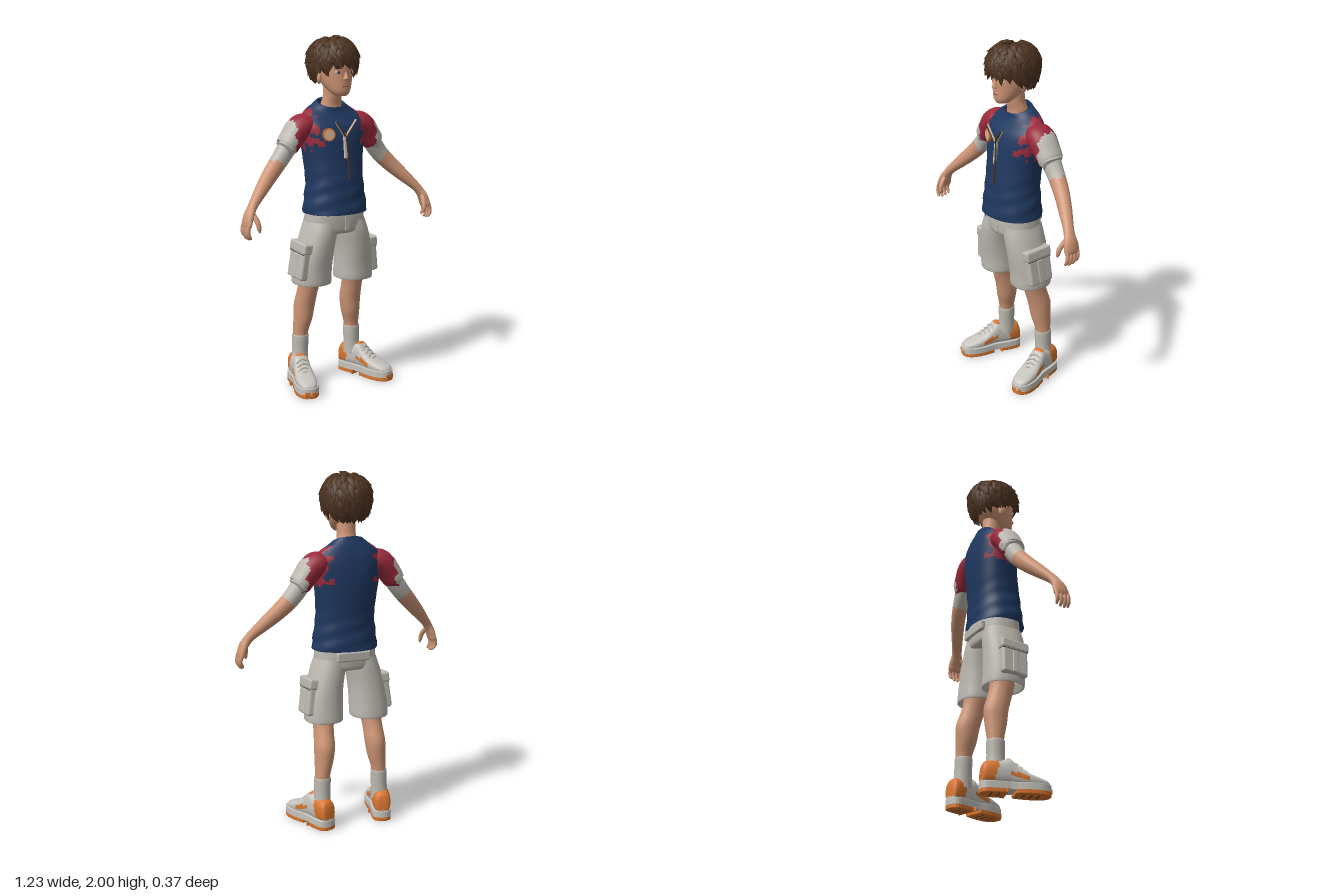
import * as THREE from 'three';
import { mergeGeometries } from 'three/addons/utils/BufferGeometryUtils.js';
import { RoundedBoxGeometry } from 'three/addons/geometries/RoundedBoxGeometry.js';

const V = (x, y, z) => new THREE.Vector3(x, y, z);
const X = V(1, 0, 0), UP = V(0, 1, 0), FWD = V(0, 0, 1);
const mat = (name, color, side = THREE.FrontSide) => {
  const m = new THREE.MeshStandardMaterial({ color, side });
  m.name = name;
  return m;
};

// Smooth skin through elliptical sections [x, y, z, ru, rv].
// dir fixes the ring plane; pick(point) chooses a material group per face.
function loft(secs, { segs = 24, sides = 24, dir = null, ref = X, p = 1, warp = null, pick = null } = {}) {
  const curve = (f) => new THREE.CatmullRomCurve3(secs.map(f), false, 'catmullrom', 0.5);
  const path = curve((s) => V(s[0], s[1], s[2])), rad = curve((s) => V(s[3], s[4], 0));
  const pow = (c) => Math.sign(c) * Math.abs(c) ** p;
  const pts = [], idx = [[], [], []];
  for (let i = 0; i <= segs; i++) {
    const t = i / segs, c = path.getPoint(t), r = rad.getPoint(t);
    const T = dir || path.getTangent(t);
    const u = ref.clone().addScaledVector(T, -ref.dot(T)).normalize();
    const v = u.clone().cross(T);
    for (let j = 0; j < sides; j++) {
      const a = (j / sides) * Math.PI * 2;
      const q = c.clone().addScaledVector(u, pow(Math.cos(a)) * Math.max(r.x, 0.0005))
        .addScaledVector(v, pow(Math.sin(a)) * Math.max(r.y, 0.0005));
      if (warp) warp(q, t, a);
      pts.push(q);
    }
  }
  for (let i = 0; i < segs; i++) for (let j = 0; j < sides; j++) {
    const a = i * sides + j, b = i * sides + (j + 1) % sides, c = a + sides, d = b + sides;
    const mid = pts[a].clone().add(pts[d]).multiplyScalar(0.5);
    idx[pick ? pick(mid) : 0].push(a, c, b, b, c, d);
  }
  const g = new THREE.BufferGeometry().setFromPoints(pts);
  g.setIndex(idx.flat());
  let start = 0;
  if (pick) idx.forEach((l, k) => { if (l.length) g.addGroup(start, l.length, k); start += l.length; });
  g.computeVertexNormals();
  return g;
}

export function createModel() {
  const root = new THREE.Group();
  root.name = 'boy';
  const D = THREE.DoubleSide;
  const skin = mat('skin', 0xcf9676), navy = mat('navy cloth', 0x1f3860, D), red = mat('crimson cloth', 0x9a2a3c, D);
  const grey = mat('grey cloth', 0xbdb9b1, D), pale = mat('shoe white', 0xc6c3bd), orange = mat('orange', 0xd9752e);
  const brown = mat('hair brown', 0x4e3320, D), dark = mat('dark metal', 0x35302d), beige = mat('beige', 0xd9b596);
  const add = (name, geo, m, parent = root, pos = [0, 0, 0]) => {
    const o = new THREE.Mesh(geo, m);
    o.name = name;
    o.position.set(...pos);
    parent.add(o);
    return o;
  };
  let seed = 7;
  const rnd = () => (seed = (seed * 16807) % 2147483647) / 2147483647;
  const rag = (q) => 0.016 * Math.sin(q.y * 95 + q.z * 30) + 0.013 * Math.sin(q.z * 120 + q.y * 41);

  // Head, neck and face
  add('head', loft([[0, 1.665, 0.075, 0.004, 0.004], [0, 1.668, 0.07, 0.032, 0.032], [0, 1.69, 0.055, 0.056, 0.06],
    [0, 1.73, 0.025, 0.078, 0.092], [0, 1.78, 0.002, 0.093, 0.117], [0, 1.84, -0.007, 0.1, 0.13],
    [0, 1.9, -0.01, 0.098, 0.125], [0, 1.95, -0.01, 0.06, 0.08], [0, 1.97, -0.01, 0.001, 0.001]], { dir: UP, sides: 32, segs: 32 }), skin);
  add('neck', loft([[0, 1.54, -0.035, 0.07, 0.06], [0, 1.61, -0.033, 0.062, 0.056], [0, 1.66, -0.02, 0.053, 0.053],
    [0, 1.74, -0.01, 0.053, 0.056]], { dir: UP }), skin);
  add('nose', loft([[0, 1.752, 0.112, 0.003, 0.003], [0, 1.757, 0.117, 0.017, 0.017], [0, 1.768, 0.118, 0.013, 0.019],
    [0, 1.79, 0.116, 0.008, 0.01], [0, 1.815, 0.11, 0.006, 0.006]], { dir: UP, sides: 12, segs: 12 }), skin);
  add('mouth', new RoundedBoxGeometry(0.034, 0.005, 0.006, 2, 0.002), red, root, [0, 1.718, 0.115]);
  for (const s of [1, -1]) {
    const oval = (name, m, x, y, z, a, b, c) => {
      const o = add(name, new THREE.SphereGeometry(1, 16, 12), m, root, [s * x, y, z]);
      o.scale.set(a, b, c);
      o.rotation.y = s * 0.35;
    };
    oval('eye', pale, 0.043, 1.796, 0.106, 0.019, 0.009, 0.005);
    oval('iris', brown, 0.041, 1.796, 0.109, 0.008, 0.009, 0.004);
    oval('eyebrow', brown, 0.044, 1.818, 0.109, 0.023, 0.004, 0.004);
    oval('ear', skin, 0.097, 1.765, 0, 0.012, 0.034, 0.02);
  }

  // Hair: a cap with swirling tapered locks over it
  const hairPoint = (t, phi, r) => {
    const th = t * (2.1 - 0.35 * Math.cos(phi)), c = Math.cos(th), sn = Math.max(Math.sin(th), 0) ** (th > 1.57 ? 0.6 : 1);
    return V(-0.006 + 0.127 * r * sn * Math.sin(phi), 1.862 + (c > 0 ? 0.122 : 0.14) * r * c, -0.008 + 0.143 * r * sn * Math.cos(phi));
  };
  const cap = new THREE.SphereGeometry(1, 32, 16), cp = cap.attributes.position;
  for (let i = 0; i < cp.count; i++) {
    const q = hairPoint(Math.acos(THREE.MathUtils.clamp(cp.getY(i), -1, 1)) / Math.PI, Math.atan2(cp.getX(i), cp.getZ(i)), 0.95);
    cp.setXYZ(i, q.x, q.y, q.z);
  }
  // close the cap inside the skull rather than over the face
  const keep = [], ci = cap.index.array;
  for (let k = 0; k < ci.length; k++) keep.push(ci[k]);
  cap.setIndex(keep);
  cap.computeVertexNormals();
  add('hairCap', cap, brown);
  const locks = [];
  for (let i = 0; i < 210; i++) {
    const t0 = 0.02 + 0.8 * Math.sqrt(i / 210), phi = i * 2.39996, len = 0.24 + 0.14 * rnd(), lift = 1.06 + 0.13 * rnd(), tw = 0.15 + 0.35 * (rnd() - 0.3);
    const w = 0.019 + 0.009 * rnd();
    const at = (k, r, a, b) => [...hairPoint(t0 + len * k, phi + tw * k, r).toArray(), a, b];
    locks.push(loft([at(0, 0.93, 0.006, 0.004), at(0.3, 1.02, w, 0.012), at(0.65, 1.05, w * 0.8, 0.011), at(1, lift, 0.001, 0.001)],
      { segs: 6, sides: 6, ref: V(Math.cos(phi), 0, -Math.sin(phi)) }));
  }
  add('hairLocks', mergeGeometries(locks), brown);

  // Shirt body with ragged crimson shoulders
  const shirt = [navy, red, grey];
  add('shirtBody', loft([[0, 1.05, 0.004, 0.15, 0.12], [0, 1.018, 0.006, 0.18, 0.145], [0, 1.025, 0.006, 0.187, 0.149],
    [0, 1.11, 0.004, 0.177, 0.142], [0, 1.2, 0, 0.167, 0.137], [0, 1.32, -0.014, 0.176, 0.133], [0, 1.43, -0.022, 0.192, 0.128],
    [0, 1.51, -0.03, 0.198, 0.112], [0, 1.565, -0.034, 0.172, 0.088], [0, 1.6, -0.036, 0.118, 0.071],
    [0, 1.625, -0.035, 0.083, 0.063], [0, 1.615, -0.035, 0.072, 0.058]], {
    dir: UP, sides: 72, segs: 72, p: 0.9,
    warp: (q, t, a) => {
      const k = THREE.MathUtils.smoothstep(q.y, 1.48, 1.62), low = 1 - THREE.MathUtils.smoothstep(q.y, 1.1, 1.35);
      q.y -= (q.z + 0.035) * 0.4 * k;
      const f = 1 + low * 0.014 * Math.sin(q.y * 70 + a * 3);
      q.x *= f; q.z *= f;
    },
    pick: (q) => (q.y > 1.39 + rag(q) && Math.abs(q.x) > 0.15 + 1.3 * rag(q) ? 1 : 0),
  }), shirt);

  for (const s of [1, -1]) {
    const side = s > 0 ? 'left' : 'right';
    const flip = (l) => l.map(([x, ...r]) => [s * x, ...r]);

    // Sleeve, arm and hand
    add(side + 'Sleeve', loft(flip([[0.13, 1.53, -0.037, 0.06, 0.04], [0.17, 1.51, -0.038, 0.078, 0.065], [0.215, 1.482, -0.038, 0.081, 0.07],
      [0.25, 1.44, -0.038, 0.077, 0.066], [0.283, 1.395, -0.038, 0.073, 0.061], [0.281, 1.4, -0.038, 0.06, 0.05]]),
    { ref: FWD, sides: 40, segs: 40, pick: (q) => (Math.abs(q.x) > 0.262 + (1.43 - q.y) * 0.1 + 0.5 * rag(q) ? 2 : Math.abs(q.x) > 0.14 ? 1 : 0) }), shirt);
    add(side + 'Arm', loft(flip([[0.24, 1.45, -0.04, 0.055, 0.052], [0.28, 1.39, -0.04, 0.055, 0.053], [0.335, 1.318, -0.036, 0.047, 0.05],
      [0.4, 1.25, -0.018, 0.042, 0.045], [0.47, 1.182, 0.014, 0.037, 0.037], [0.54, 1.112, 0.05, 0.03, 0.026], [0.57, 1.07, 0.063, 0.034, 0.024]]),
    { ref: FWD, segs: 36, pick: (q) => ((Math.abs(q.x) - q.y) * 0.7 < -0.668 + 0.3 * rag(q) ? 2 : 0) }), [skin, red, grey]);
    add(side + 'Palm', loft(flip([[0.545, 1.108, 0.053, 0.022, 0.02], [0.572, 1.068, 0.064, 0.038, 0.024], [0.588, 1.03, 0.068, 0.046, 0.021],
      [0.595, 0.998, 0.07, 0.045, 0.016], [0.596, 0.988, 0.07, 0.01, 0.005]]), { ref: FWD, segs: 16, sides: 20 }), skin);
    for (let f = 0; f < 4; f++) {
      const z = 0.035 + f * 0.023, e = [0.012, 0.002, 0, 0.006][f];
      add(side + 'Finger', loft(flip([[0.594, 1.015, z, 0.011, 0.011], [0.604, 0.982, z + 0.002, 0.011, 0.011], [0.602, 0.95 + e, z + 0.004, 0.01, 0.01],
        [0.59, 0.932 + e, z + 0.005, 0.007, 0.007], [0.586, 0.928 + e, z + 0.005, 0.001, 0.001]]), { ref: FWD, segs: 12, sides: 10 }), skin);
    }
    add(side + 'Thumb', loft(flip([[0.562, 1.06, 0.085, 0.014, 0.014], [0.552, 1.02, 0.115, 0.014, 0.014], [0.548, 0.985, 0.125, 0.011, 0.011],
      [0.546, 0.966, 0.126, 0.001, 0.001]]), { ref: FWD, segs: 12, sides: 10 }), skin);

    // Shorts leg with turned hem and cargo pocket
    add(side + 'ShortsLeg', loft(flip([[0.14, 0.66, -0.02, 0.085, 0.09], [0.14, 0.615, -0.02, 0.1, 0.108], [0.14, 0.622, -0.02, 0.108, 0.115],
      [0.138, 0.7, -0.015, 0.106, 0.115], [0.127, 0.8, -0.006, 0.1, 0.119], [0.105, 0.9, 0, 0.094, 0.12], [0.09, 0.97, 0, 0.085, 0.113]]),
    { dir: UP, segs: 32, sides: 36, p: 0.9 }), grey);
    const pocket = new THREE.Group();
    pocket.name = side + 'CargoPocket';
    pocket.position.set(s * 0.226, 0.755, -0.005);
    pocket.rotation.set(0.06, 0, s * 0.13);
    root.add(pocket);
    add('pocketBag', new RoundedBoxGeometry(0.05, 0.18, 0.155, 3, 0.014), grey, pocket, [0, -0.015, 0]);
    add('pocketFlap', new RoundedBoxGeometry(0.058, 0.06, 0.168, 3, 0.012), grey, pocket, [0, 0.075, 0]);
    add('pocketPleat', new RoundedBoxGeometry(0.058, 0.14, 0.04, 3, 0.008), grey, pocket, [0, -0.03, 0]);
    add('pocketSeam', new THREE.BoxGeometry(0.052, 0.003, 0.15), dark, pocket, [0, 0.043, 0]);

    // Lower leg and sock
    add(side + 'Leg', loft(flip([[0.177, 0.2, -0.088, 0.04, 0.042], [0.175, 0.3, -0.088, 0.042, 0.046], [0.163, 0.39, -0.08, 0.053, 0.061],
      [0.157, 0.47, -0.074, 0.058, 0.069], [0.152, 0.55, -0.05, 0.056, 0.068], [0.147, 0.62, -0.032, 0.06, 0.07], [0.14, 0.76, -0.02, 0.07, 0.078]]),
    { dir: UP, segs: 28 }), skin);
    add(side + 'Sock', loft(flip([[0.182, 0.12, -0.09, 0.05, 0.055], [0.178, 0.2, -0.089, 0.046, 0.049], [0.176, 0.285, -0.088, 0.047, 0.05],
      [0.176, 0.292, -0.088, 0.04, 0.043]]), { dir: UP, segs: 16 }), grey);

    // Trainer
    const shoe = new THREE.Group();
    shoe.name = side + 'Shoe';
    shoe.position.set(s * 0.218, 0, 0.002);
    shoe.rotation.y = s * 0.29;
    root.add(shoe);
    const outline = [[0, -0.187], [0.042, -0.17], [0.052, -0.11], [0.05, -0.02], [0.062, 0.07], [0.056, 0.145], [0.03, 0.182], [0, 0.188],
      [-0.03, 0.18], [-0.054, 0.14], [-0.06, 0.07], [-0.046, -0.02], [-0.05, -0.11], [-0.042, -0.17]];
    const slab = (scale, y0, h, from = -1, to = 1) => {
      const ring = new THREE.CatmullRomCurve3(outline.map(([x, z]) => V(x * scale, 0, z * scale)), true).getPoints(48);
      const shape = new THREE.Shape(ring.map((q) => new THREE.Vector2(q.x, -THREE.MathUtils.clamp(q.z, from, to))));
      return new THREE.ExtrudeGeometry(shape, { depth: h, bevelEnabled: true, bevelSize: 0.004, bevelThickness: 0.004, bevelSegments: 2 })
        .rotateX(-Math.PI / 2).translate(0, y0, 0);
    };
    add('midsole', slab(0.99, 0.022, 0.034), pale, shoe);
    add('toeTread', slab(0.99, 0.004, 0.018, 0.0, 1), orange, shoe);
    add('heelTread', slab(0.99, 0.004, 0.018, -1, -0.05), orange, shoe);
    for (const z of [-0.13, -0.09, 0.04, 0.08, 0.12]) add('treadGroove', new THREE.BoxGeometry(0.07, 0.003, 0.006), dark, shoe, [0, 0.0005, z]);
    const up = ([z, w, top]) => [0, (top + 0.04) / 2, z, w, (top - 0.04) / 2];
    add('upper', loft([[-0.184, 0.004, 0.06], [-0.181, 0.032, 0.125], [-0.165, 0.046, 0.165], [-0.12, 0.051, 0.178], [-0.07, 0.05, 0.182], [-0.03, 0.049, 0.192],
      [0.005, 0.051, 0.158], [0.06, 0.058, 0.122], [0.115, 0.056, 0.1], [0.16, 0.044, 0.085], [0.18, 0.025, 0.07], [0.186, 0.003, 0.05]].map(up), {
      dir: FWD, segs: 56, sides: 32, p: 0.8,
      pick: (q) => {
        const heel = q.z < -0.105 + 0.25 * (q.y - 0.1) && q.y > 0.066;
        const stripe = Math.abs(q.x) > 0.03 && Math.abs(q.y - 0.098 + 0.25 * q.z) < 0.012 && q.z > -0.03 && q.z < 0.065;
        const tongue = q.y > 0.182 && q.z > -0.05;
        return heel || stripe || tongue ? 1 : 0;
      },
    }), [pale, orange, grey], shoe);
    for (let k = 0; k < 4; k++) {
      const z = 0.0 + k * 0.023, y = 0.168 - k * 0.017;
      add('lace', new THREE.TubeGeometry(new THREE.CatmullRomCurve3([V(-0.036, y - 0.016, z + 0.008), V(0, y + 0.002, z), V(0.036, y - 0.016, z - 0.004)]), 10, 0.005, 6), grey, shoe);
    }
    add('toeCapTrim', new RoundedBoxGeometry(0.06, 0.028, 0.012, 2, 0.004), orange, shoe, [0, 0.026, 0.184]);

    // Open zip collar arm
    const zip = (r, dz) => new THREE.TubeGeometry(new THREE.LineCurve3(V(s * 0.068, 1.535, 0.122 + dz), V(s * 0.006, 1.45, 0.118 + dz)), 4, r, 6);
    add(side + 'ZipEdge', zip(0.008, 0), beige);
    add(side + 'ZipTeeth', zip(0.0045, 0.007), dark);
  }

  // Shorts seat and belt
  add('shortsSeat', loft([[0, 0.9, 0, 0.1, 0.06], [0, 0.905, 0, 0.165, 0.112], [0, 0.96, 0, 0.177, 0.124], [0, 1.05, 0, 0.17, 0.124]],
    { dir: UP, sides: 40, p: 0.85 }), grey);
  add('backBelt', new RoundedBoxGeometry(0.2, 0.055, 0.03, 3, 0.01), grey, root, [0, 0.985, -0.122]);
  add('shortsFly', new RoundedBoxGeometry(0.03, 0.1, 0.01, 2, 0.004), grey, root, [0.008, 0.97, 0.122]);

  // Zip pull, cord and badge
  add('zipPull', new RoundedBoxGeometry(0.024, 0.14, 0.012, 2, 0.004), pale, root, [0, 1.395, 0.118]).rotation.x = -0.1;
  add('zipCord', new THREE.TubeGeometry(new THREE.CatmullRomCurve3([V(0.004, 1.47, 0.116), V(0.01, 1.34, 0.128), V(0.012, 1.21, 0.142)]), 10, 0.006, 6), brown);
  const badge = new THREE.Group();
  badge.name = 'badge';
  badge.position.set(-0.095, 1.46, 0.097);
  badge.rotation.y = -0.3;
  root.add(badge);
  add('badgeRim', new THREE.CylinderGeometry(0.036, 0.036, 0.012, 24), orange, badge).rotation.x = Math.PI / 2;
  add('badgeFace', new THREE.CylinderGeometry(0.028, 0.028, 0.008, 24), beige, badge, [0, 0, 0.005]).rotation.x = Math.PI / 2;
  return root;
}
